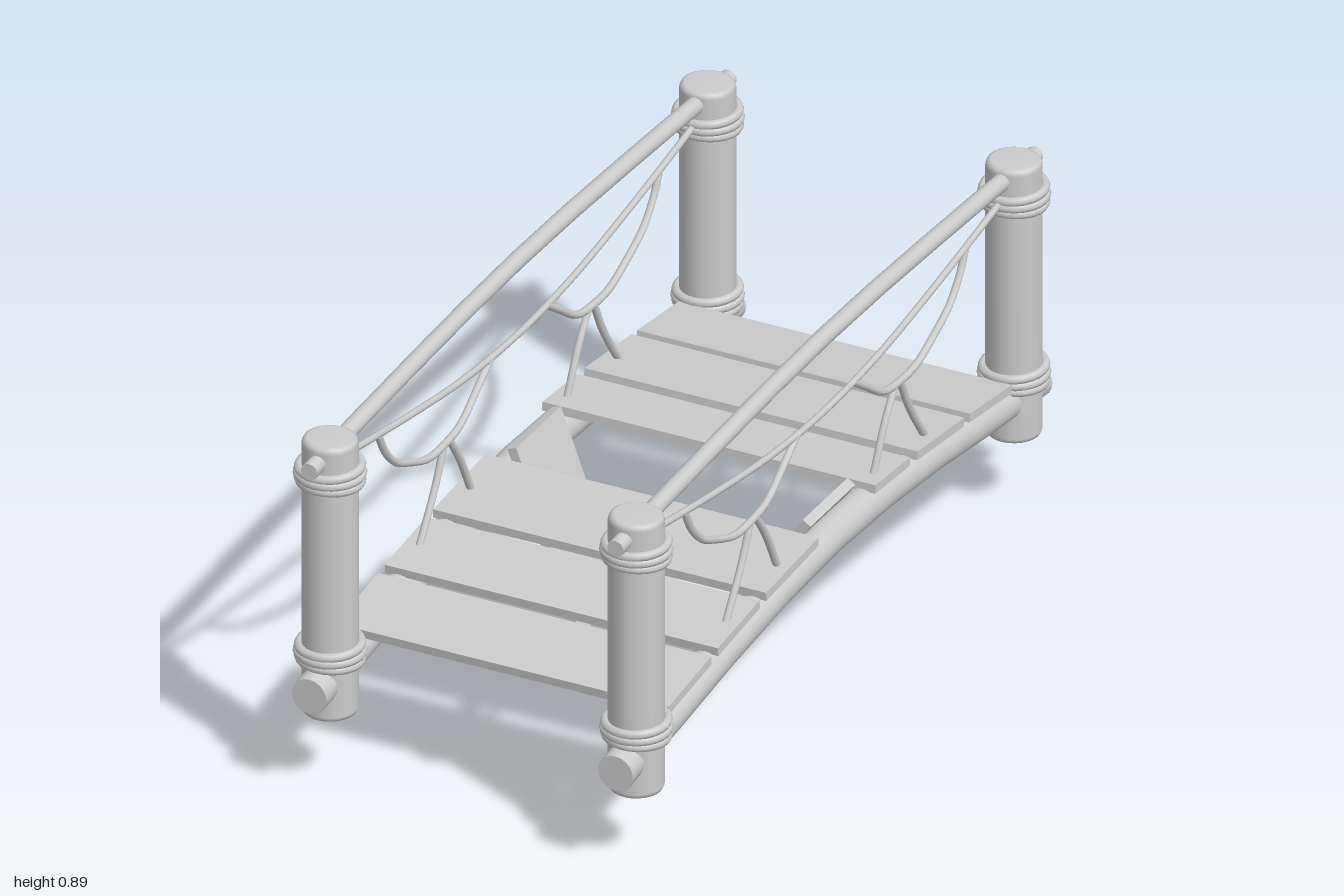
import * as THREE from 'three';

const material = new THREE.MeshStandardMaterial({ color: 0xcccccc });
const SIDE_X = 0.377, POST_Z = 0.9;

function add(parent, name, geometry) {
  const mesh = new THREE.Mesh(geometry, material);
  mesh.name = name;
  parent.add(mesh);
  return mesh;
}

// Height at distance |z| from mid-span, interpolated between [z, y] pairs
function heightAt(profile, z) {
  const d = Math.abs(z);
  for (let i = 1; i < profile.length; i++) {
    const [z0, y0] = profile[i - 1], [z1, y1] = profile[i];
    if (d <= z1 || i === profile.length - 1) return y0 + (y1 - y0) * (d - z0) / (z1 - z0);
  }
}

// Capped pole along z, bent to follow a height profile
function bentPole(radius, length, profile, sides) {
  const geometry = new THREE.CylinderGeometry(radius, radius, length, sides, 16).rotateX(Math.PI / 2);
  const p = geometry.attributes.position;
  for (let i = 0; i < p.count; i++) p.setY(i, p.getY(i) + heightAt(profile, p.getZ(i)));
  geometry.computeVertexNormals();
  return geometry;
}

// Rope through [z, y] points in the plane of a railing
function rope(points, radius, segments) {
  const curve = new THREE.CatmullRomCurve3(points.map(([z, y]) => new THREE.Vector3(0, y, z)), false, 'centripetal');
  return new THREE.TubeGeometry(curve, segments, radius, 8);
}

// Post with softened rims and two rope lashings
function createPost() {
  const post = new THREE.Group();
  post.name = 'post';
  const r = 0.063, low = 0.18, high = 0.865;
  const profile = [
    [0, low], [r - 0.012, low], [r - 0.004, low + 0.004], [r, low + 0.014],
    [r, high - 0.014], [r - 0.004, high - 0.004], [r - 0.012, high], [0, high],
  ].map(([x, y]) => new THREE.Vector2(x, y));
  add(post, 'postShaft', new THREE.LatheGeometry(profile, 24));
  for (const y of [0.333, 0.778]) {
    for (let i = -1; i <= 1; i++) {
      const loop = add(post, 'lashingLoop', new THREE.TorusGeometry(i === 0 ? 0.071 : 0.069, 0.011, 8, 24));
      loop.position.y = y + i * 0.016;
      loop.rotation.set(Math.PI / 2 + i * 0.03, i * 0.04, 0);
    }
  }
  return post;
}

const BEAM = [[0, 0.36], [0.25, 0.35], [0.5, 0.326], [0.75, 0.292], [1, 0.263]];
const RAIL = [[0, 0.866], [0.25, 0.862], [0.5, 0.852], [0.75, 0.84], [1, 0.825]];

// Beam, handrail and ropes of one side
function createRailing() {
  const side = new THREE.Group();
  side.name = 'railing';
  add(side, 'beam', bentPole(0.043, 2, BEAM, 20));
  add(side, 'handrail', bentPole(0.02, 2, RAIL, 14));
  add(side, 'sagRope', rope([
    [0.86, 0.792], [0.8, 0.78], [0.5, 0.727], [0.25, 0.692], [0, 0.679],
    [-0.25, 0.692], [-0.5, 0.727], [-0.8, 0.78], [-0.86, 0.792],
  ], 0.008, 32));
  for (const s of [1, -1]) {
    const mirrored = (points) => points.map(([z, y]) => [z * s, y]);
    add(side, 'hangingRope', rope(mirrored([
      [0.668, 0.752], [0.64, 0.7], [0.59, 0.648], [0.52, 0.612], [0.43, 0.578],
      [0.35, 0.576], [0.28, 0.587], [0.19, 0.645], [0.13, 0.686],
    ]), 0.009, 24));
    add(side, 'outerRopeLeg', rope(mirrored([[0.355, 0.58], [0.4, 0.49], [0.475, 0.38]]), 0.009, 8));
    add(side, 'innerRopeLeg', rope(mirrored([[0.335, 0.58], [0.285, 0.51], [0.225, 0.395]]), 0.009, 8));
  }
  return side;
}

// Snapped plank hanging between its broken tip and its hinge on the beam
function brokenPlank(parent, name, tip, hinge) {
  const a = new THREE.Vector2(...tip), b = new THREE.Vector2(...hinge);
  const plank = add(parent, name, new THREE.BoxGeometry(0.023, a.distanceTo(b), 0.213));
  plank.position.set((a.x + b.x) / 2, (a.y + b.y) / 2, -0.036);
  plank.rotation.z = Math.atan2(a.x - b.x, b.y - a.y);
}

export function createModel() {
  const bridge = new THREE.Group();
  bridge.name = 'ropeBridge';

  for (const s of [1, -1]) {
    const railing = createRailing();
    railing.position.x = s * SIDE_X;
    bridge.add(railing);
    for (const t of [1, -1]) {
      const post = createPost();
      post.position.set(s * SIDE_X, 0, t * POST_Z);
      bridge.add(post);
    }
  }

  // Deck planks, each tilted with the slope of the beams: [back z, front z]
  const spans = [[-0.825, -0.625], [-0.6, -0.375], [-0.34, -0.175], [0.095, 0.345], [0.375, 0.575], [0.605, 0.81]];
  for (const [z0, z1] of spans) {
    const plank = add(bridge, 'deckPlank', new THREE.BoxGeometry(0.82, 0.021, z1 - z0));
    const y0 = heightAt(BEAM, z0), y1 = heightAt(BEAM, z1);
    plank.position.set(0, (y0 + y1) / 2 + 0.049, (z0 + z1) / 2);
    plank.rotation.x = -Math.atan2(y1 - y0, z1 - z0);
  }

  brokenPlank(bridge, 'rightBrokenPlank', [-0.2, 0.004], [-0.358, 0.43]);
  brokenPlank(bridge, 'leftBrokenPlank', [0.128, 0.067], [0.368, 0.428]);
  return bridge;
}
